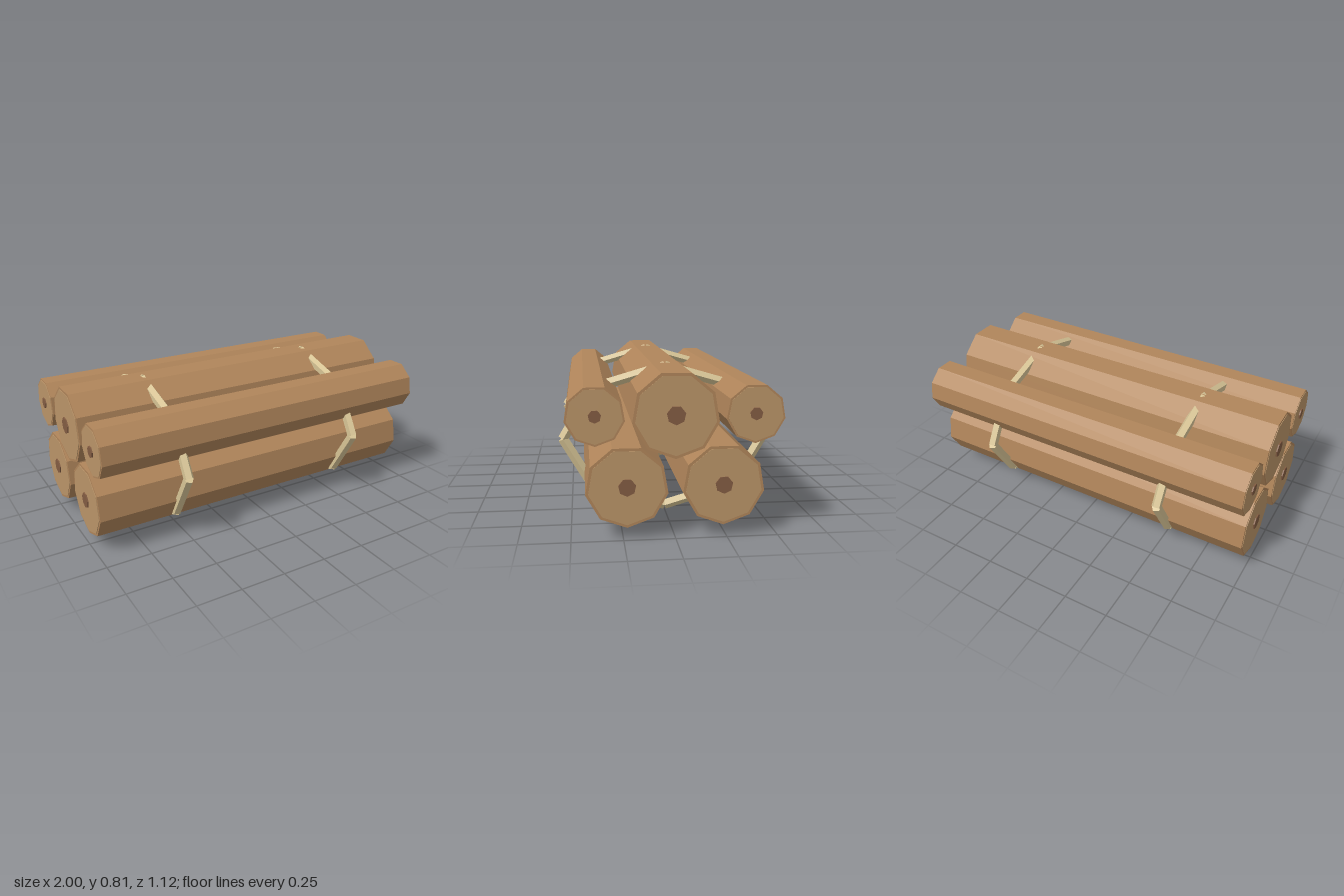
import * as THREE from 'three';

const mat = (color) => new THREE.MeshStandardMaterial({ color, flatShading: true });

export function createModel() {
  const model = new THREE.Group();
  model.name = 'logBundle';
  const bark = mat(0xb0855a);
  const wood = mat(0xba9468);
  const heart = mat(0x835c42);
  const twine = mat(0xd8c596);

  // Prism lying along x with one corner pointing straight down
  function prism(name, radius, length, sides, material) {
    const geo = new THREE.CylinderGeometry(radius, radius, length, sides, 1, false, Math.PI / 2);
    geo.rotateZ(-Math.PI / 2);
    const mesh = new THREE.Mesh(geo, material);
    mesh.name = name;
    return mesh;
  }

  // Log: bark, a pale cut face and a dark core at each end
  function addLog(name, z, y, radius, coreRadius) {
    const log = new THREE.Group();
    log.name = name;
    log.position.set(0, y, z);
    log.add(prism('bark', radius, 1.98, 9, bark));
    for (const side of [-1, 1]) {
      const cut = prism('cutFace', radius * 0.93, 0.02, 9, wood);
      cut.position.x = side * 0.983;
      const core = prism('core', coreRadius, 0.03, 7, heart);
      core.position.x = side * 0.985;
      log.add(cut, core);
    }
    model.add(log);
  }

  addLog('topLog', 0, 0.603, 0.21, 0.046);
  for (const side of [-1, 1]) {
    const place = side > 0 ? 'Front' : 'Back';
    addLog('upper' + place + 'Log', side * 0.38, 0.604, 0.143, 0.031);
    addLog('lower' + place + 'Log', side * 0.232, 0.262, 0.2, 0.043);
  }

  // Ties: eight straight five-sided pieces around an ellipse
  const segments = 8;
  const ringPoint = (i) => {
    const a = (i / segments) * Math.PI * 2;
    return new THREE.Vector3(0, 0.405 + 0.377 * Math.cos(a), 0.538 * Math.sin(a));
  };
  for (const x of [-0.54, 0.54]) {
    const tie = new THREE.Group();
    tie.name = x > 0 ? 'leftTie' : 'rightTie';
    tie.position.x = x;
    for (let i = 0; i < segments; i++) {
      const a = ringPoint(i);
      const b = ringPoint(i + 1);
      const geo = new THREE.CylinderGeometry(0.028, 0.028, a.distanceTo(b), 5, 1, false, Math.PI / 2);
      const piece = new THREE.Mesh(geo, twine);
      piece.name = 'tieSegment';
      piece.position.copy(a).add(b).multiplyScalar(0.5);
      piece.rotation.x = Math.atan2(b.z - a.z, b.y - a.y);
      tie.add(piece);
    }
    model.add(tie);
  }

  return model;
}
